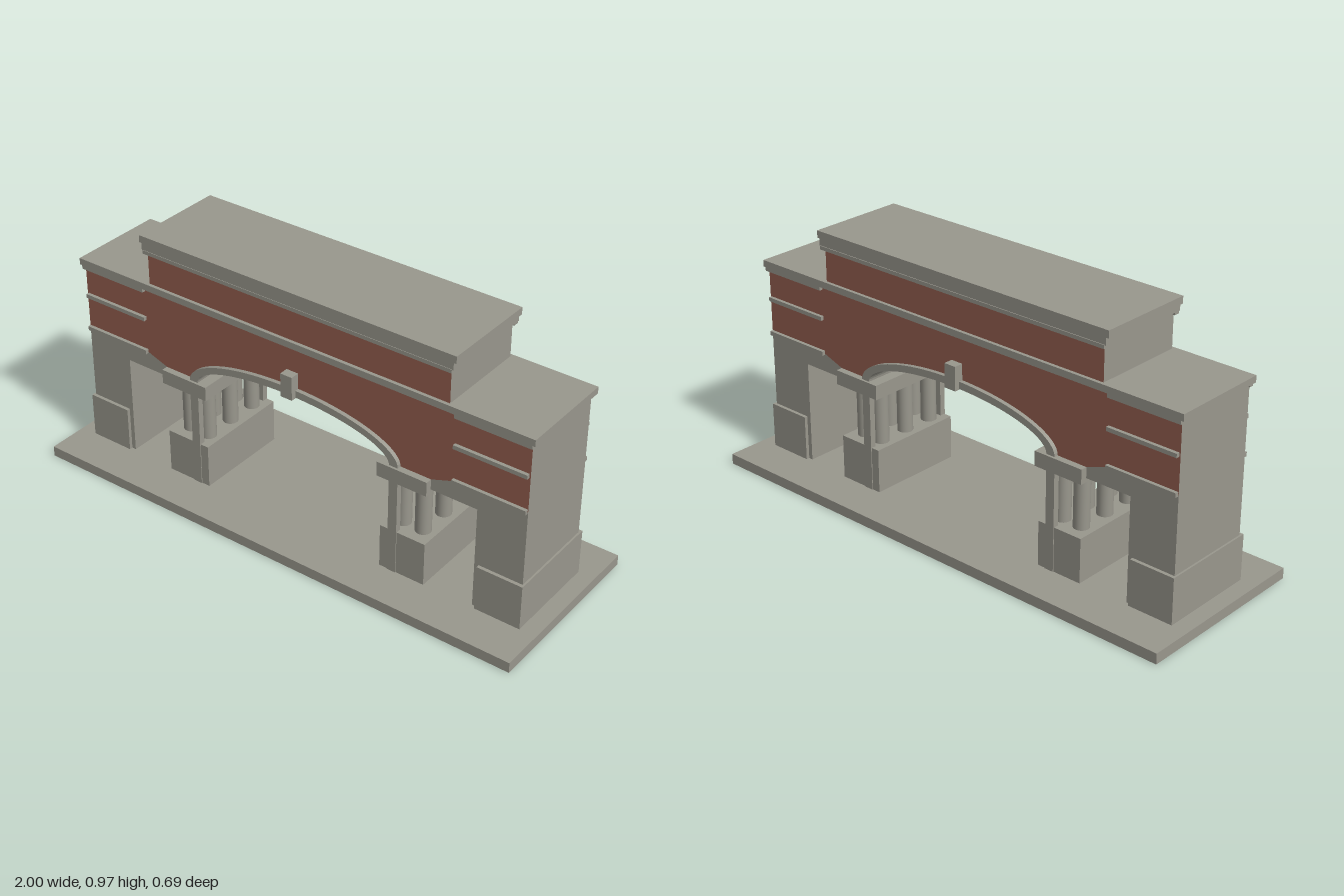
import * as THREE from 'three';

export function createModel() {
  const model = new THREE.Group();
  model.name = 'archedGateway';

  const stone = new THREE.MeshStandardMaterial({ color: 0x99978d });
  stone.name = 'stone';
  const brick = new THREE.MeshStandardMaterial({ color: 0x965f50 });
  brick.name = 'brick';

  function add(name, geometry, material = stone) {
    const mesh = new THREE.Mesh(geometry, material);
    mesh.name = name;
    model.add(mesh);
    return mesh;
  }

  // Box given by its limits on each axis
  function box(name, x0, x1, y0, y1, z0, z1, material = stone) {
    const g = new THREE.BoxGeometry(x1 - x0, y1 - y0, z1 - z0);
    g.translate((x0 + x1) / 2, (y0 + y1) / 2, (z0 + z1) / 2);
    return add(name, g, material);
  }

  // Outline extruded from z0 to z1
  function slab(name, points, z0, z1, material = stone) {
    const shape = new THREE.Shape(points.map(([x, y]) => new THREE.Vector2(x, y)));
    const g = new THREE.ExtrudeGeometry(shape, { depth: z1 - z0, bevelEnabled: false });
    g.translate(0, 0, z0);
    return add(name, g, material);
  }

  // Half ellipse from -x to +x, springing at the impost top
  const spring = 0.47;
  function arc(halfWidth, rise, n = 40) {
    return Array.from({ length: n + 1 }, (_, i) => {
      const a = Math.PI * (1 - i / n);
      return [halfWidth * Math.cos(a), spring + rise * Math.sin(a)];
    });
  }

  const depth = 0.175;
  const trim = 0.188;

  box('base', -1, 1, 0, 0.04, -0.347, 0.347);

  // Upper wall: brick on front and back, stone ends and vault
  slab('upperWall', [
    [-0.565, spring], ...arc(0.41, 0.11), [0.565, spring], [0.65, 0.5],
    [0.93, 0.5], [0.93, 0.77], [-0.93, 0.77], [-0.93, 0.5], [-0.65, 0.5],
  ], -depth, depth, [brick, stone]);

  // Main cornice, attic and attic cornice
  box('mainCornice', -0.945, 0.945, 0.762, 0.787, -trim, trim);
  box('attic', -0.625, 0.625, 0.787, 0.92, -depth, depth,
    [stone, stone, stone, stone, brick, brick]);
  box('atticCorniceLower', -0.64, 0.64, 0.92, 0.947, -trim, trim);
  box('atticCorniceUpper', -0.65, 0.65, 0.947, 0.974, -trim, trim);

  // Keystone
  box('keystone', -0.024, 0.024, 0.577, 0.667, -0.21, 0.21);

  // Arch trim running down to the base, and fillets on both faces
  const archTrim = [
    [-0.445, 0.04], ...arc(0.445, 0.137), [0.445, 0.04],
    [0.41, 0.04], ...arc(0.41, 0.11).reverse(), [-0.41, 0.04],
  ];
  for (const s of [-1, 1]) {
    const z0 = s > 0 ? 0.168 : -0.191;
    const z1 = z0 + 0.023;
    slab('archTrim', archTrim, z0, z1);
    box('atticFillet', -0.635, 0.635, 0.908, 0.922, z0, z1 - 0.001);
  }

  for (const s of [-1, 1]) {
    const sideBox = (name, x0, x1, ...rest) =>
      box(name, Math.min(s * x0, s * x1), Math.max(s * x0, s * x1), ...rest);

    // End pier with the lintel over the side passage
    slab('endPier', [
      [0.93, 0.04], [0.93, 0.5], [0.65, 0.5], [0.565, 0.47],
      [0.565, 0.43], [0.745, 0.43], [0.745, 0.04],
    ].map(([x, y]) => [s * x, y]), -depth, depth);
    sideBox('endPlinth', 0.762, 0.937, 0.04, 0.213, -trim, trim);

    // Horizontal bands
    for (const f of [-1, 1]) {
      const z0 = f > 0 ? 0.17 : -trim;
      const z1 = z0 + trim - 0.17;
      sideBox('lowerBand', 0.65, 0.928, 0.496, 0.512, z0, z1);
      sideBox('upperBand', 0.65, 0.925, 0.632, 0.647, z0, z1);
      sideBox('corniceFillet', 0.65, 0.935, 0.748, 0.764, z0, z1);
    }

    // Pedestal, columns and impost
    sideBox('pedestal', 0.377, 0.558, 0.04, 0.208, -trim, trim);
    sideBox('impost', 0.367, 0.565, 0.415, 0.47, -0.2, 0.2);
    for (const x of [0.427, 0.507]) {
      for (const z of [-0.122, 0, 0.122]) {
        const g = new THREE.CylinderGeometry(0.029, 0.029, 0.22, 24);
        add('column', g).position.set(s * x, 0.312, z);
      }
    }
  }

  return model;
}
